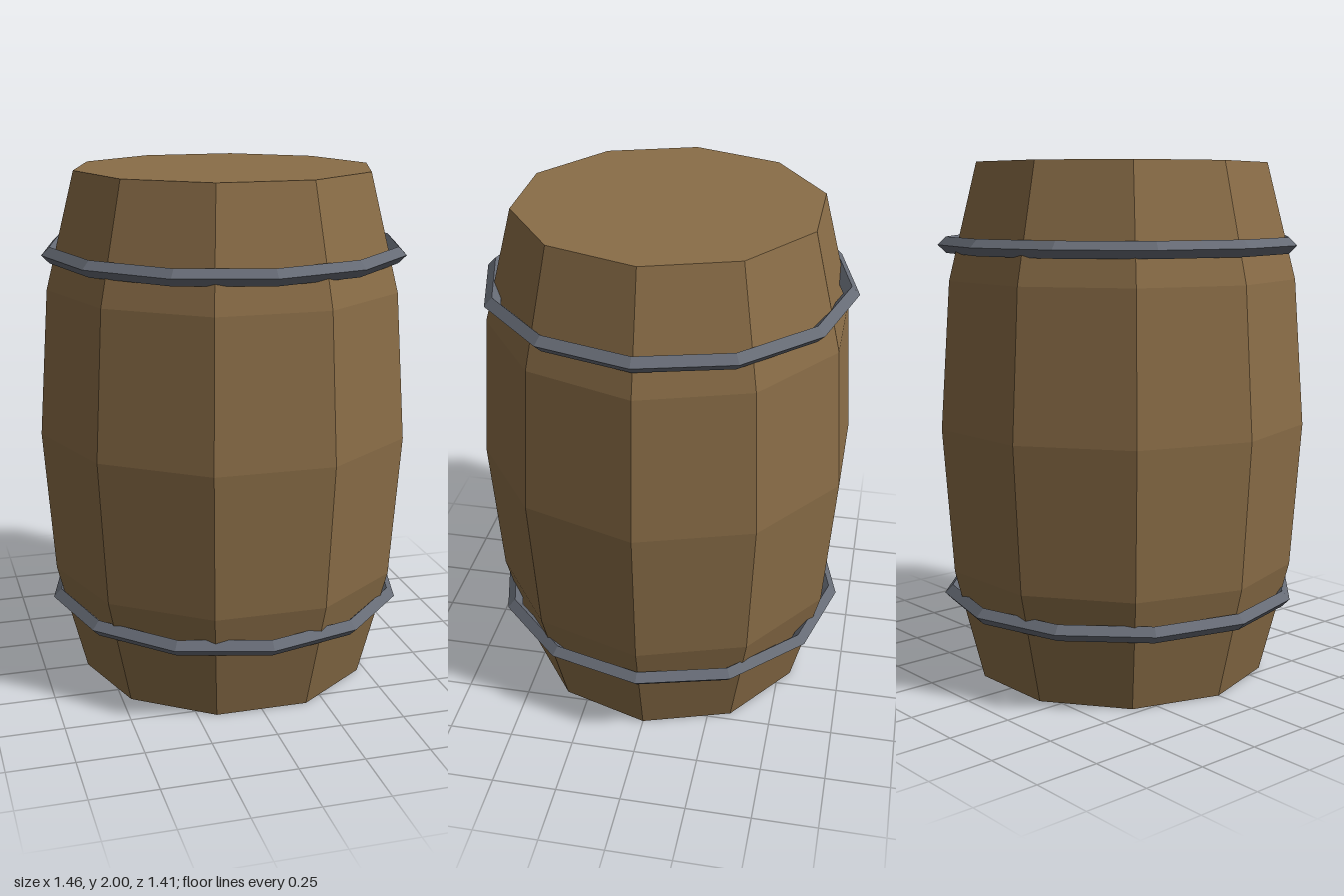
import * as THREE from 'three';

export function createModel() {
  const barrel = new THREE.Group();
  barrel.name = 'barrel';

  const wood = new THREE.MeshStandardMaterial({ color: 0x8a6d47, flatShading: true });
  wood.name = 'wood';
  const iron = new THREE.MeshStandardMaterial({ color: 0x666b75, flatShading: true });
  iron.name = 'iron';

  // Ten-sided bulging body, closed by flat lids
  const profile = [[0, 0], [0.577, 0], [0.69, 0.44], [0.73, 1], [0.69, 1.56], [0.577, 2], [0, 2]]
    .map(([r, y]) => new THREE.Vector2(r, y));
  const bodyGeometry = new THREE.LatheGeometry(profile, 10);
  bodyGeometry.rotateY(Math.PI / 2);
  const body = new THREE.Mesh(bodyGeometry, wood);
  body.name = 'body';
  barrel.add(body);

  // Twelve-sided hoops with a diamond cross-section
  const hoopGeometry = new THREE.TorusGeometry(0.675, 0.031, 4, 12);
  hoopGeometry.rotateX(Math.PI / 2);
  for (const [name, y] of [['lowerHoop', 0.315], ['upperHoop', 1.69]]) {
    const hoop = new THREE.Mesh(hoopGeometry, iron);
    hoop.name = name;
    hoop.position.y = y;
    barrel.add(hoop);
  }

  return barrel;
}
